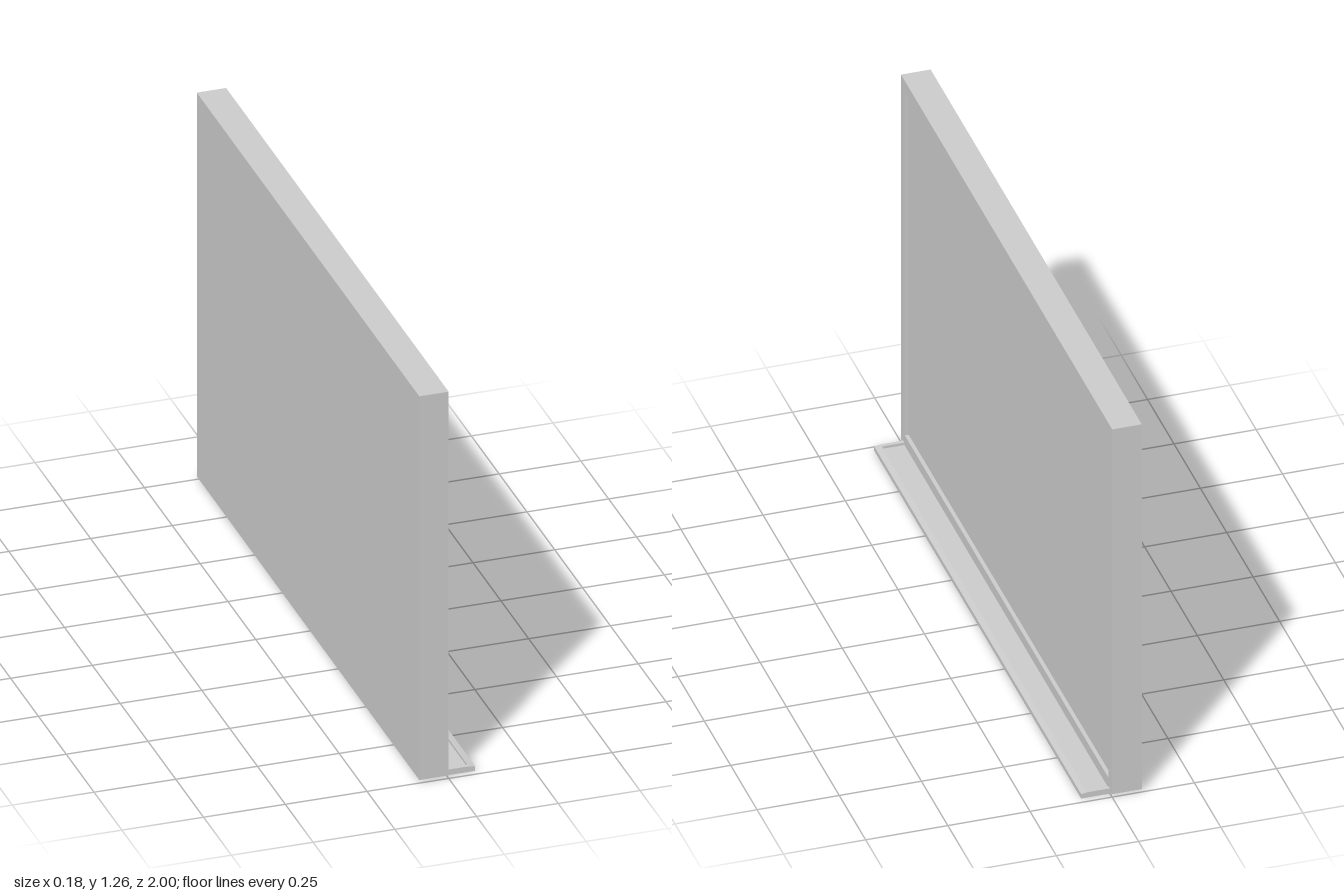
import * as THREE from 'three';

const material = new THREE.MeshStandardMaterial({ color: 0xcccccc });

function addMesh(group, name, geometry) {
  const mesh = new THREE.Mesh(geometry, material);
  mesh.name = name;
  group.add(mesh);
  return mesh;
}

// Box given by its two opposite corners
function addBox(group, name, [x0, y0, z0], [x1, y1, z1]) {
  const mesh = addMesh(group, name, new THREE.BoxGeometry(x1 - x0, y1 - y0, z1 - z0));
  mesh.position.set((x0 + x1) / 2, (y0 + y1) / 2, (z0 + z1) / 2);
}

// Closed x-y profile extruded along z, from z0 to z1
function addProfile(group, name, points, z0, z1) {
  const shape = new THREE.Shape(points.map(([x, y]) => new THREE.Vector2(x, y)));
  const geometry = new THREE.ExtrudeGeometry(shape, { depth: z1 - z0, bevelEnabled: false });
  addMesh(group, name, geometry.translate(0, 0, z0));
}

export function createModel() {
  const model = new THREE.Group();
  model.name = 'whiteboard';

  const back = -0.09, face = 0, bottom = 0.01, top = 1.265;
  const border = 0.035, recess = 0.012;

  // Border around the writing surface, and the slightly recessed panel behind it
  const frame = new THREE.Group();
  frame.name = 'frame';
  model.add(frame);
  const inner = face - recess;
  const outline = new THREE.Shape([[-1, bottom], [1, bottom], [1, top], [-1, top]]
    .map(([u, v]) => new THREE.Vector2(u, v)));
  const [u, v0, v1] = [1 - border, bottom + border, top - border];
  outline.holes.push(new THREE.Path([[-u, v0], [-u, v1], [u, v1], [u, v0]]
    .map(([a, b]) => new THREE.Vector2(a, b))));
  const rim = new THREE.ExtrudeGeometry(outline, { depth: recess, bevelEnabled: false });
  rim.rotateY(Math.PI / 2).translate(inner, 0, 0);
  addMesh(frame, 'frameBorder', rim);
  addBox(frame, 'boardPanel', [back, bottom, -1], [inner, top, 1]);

  // Shallow pen tray: floor, front lip and two end walls with chamfered front corners
  const tray = new THREE.Group();
  tray.name = 'penTray';
  model.add(tray);
  const end = 0.98, wall = 0.012, trayBack = -0.045, trayFront = 0.088;
  addBox(tray, 'trayFloor', [trayBack, 0, -end], [trayFront, 0.01, end]);
  addProfile(tray, 'trayLip',
    [[0.068, 0.01], [trayFront, 0.01], [trayFront, 0.015], [0.07, 0.018], [0.068, 0.018]],
    -end + wall, end - wall);
  for (const side of [-1, 1]) {
    const z = side * (end - wall / 2);
    addProfile(tray, 'trayEnd',
      [[-0.005, 0.01], [trayFront, 0.01], [trayFront, 0.015], [0.07, 0.018], [-0.005, 0.018]],
      z - wall / 2, z + wall / 2);
  }
  return model;
}
